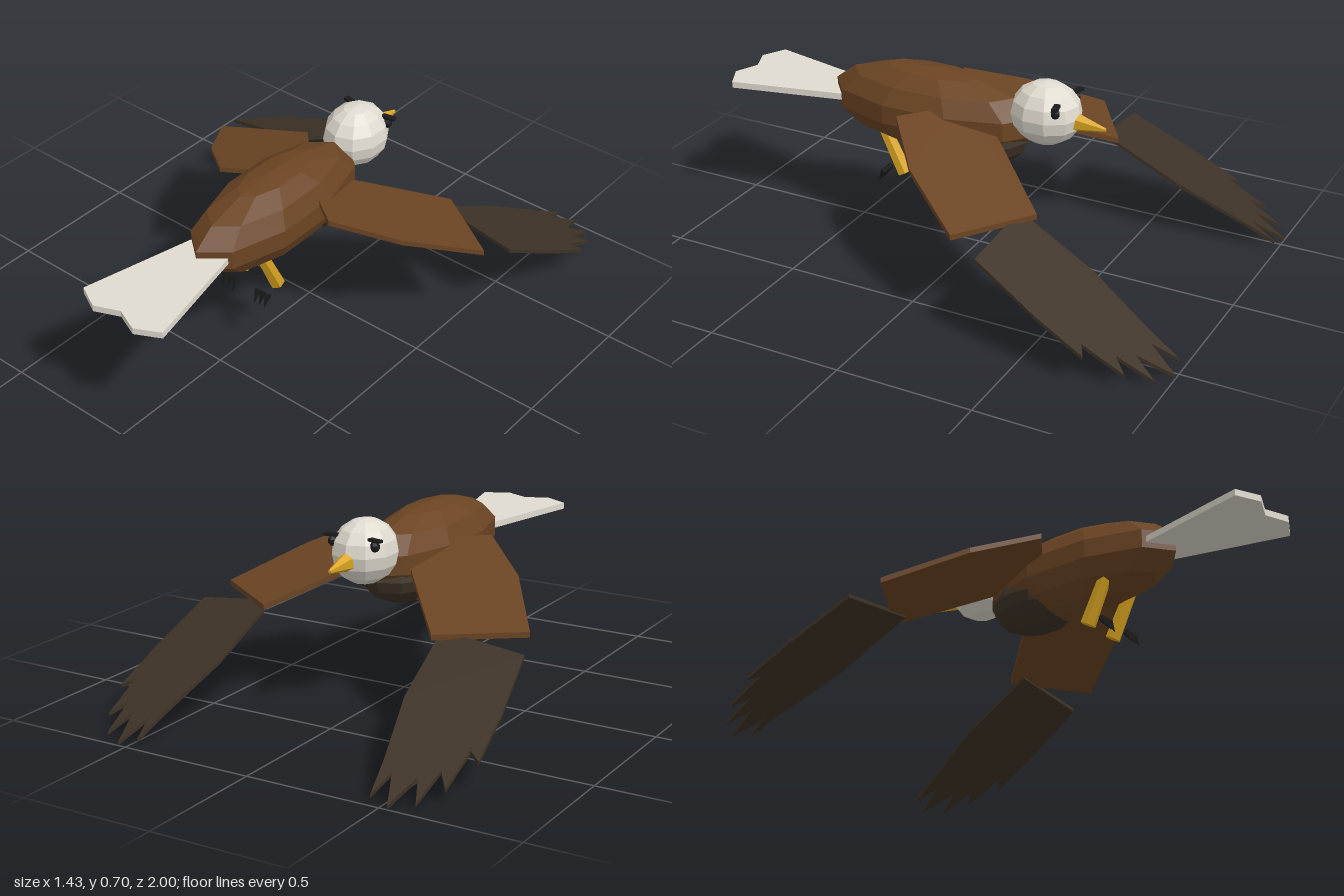
import * as THREE from 'three';

const mat = (name, color) => {
  const m = new THREE.MeshStandardMaterial({ color, flatShading: true });
  m.name = name;
  return m;
};

export function createModel() {
  const bird = new THREE.Group();
  bird.name = 'bird';

  const brown = mat('brown plumage', 0x6b4423);
  const dark = mat('dark feathers', 0x3d3226);
  const cream = mat('cream plumage', 0xe0dbcf);
  const gold = mat('golden horn', 0xdaa520);
  const black = mat('black', 0x1a1a1a);

  const add = (name, geometry, material) => {
    const mesh = new THREE.Mesh(geometry, material);
    mesh.name = name;
    bird.add(mesh);
    return mesh;
  };

  // Faceted ellipsoid with a vertex ring aligned to the bird's length
  const ellipsoid = (name, material, radii, pos, w, h) =>
    add(name, new THREE.SphereGeometry(1, w, h).rotateY(Math.PI / 2).scale(...radii).translate(...pos), material);

  // Tapered rod from point a to point b
  const rod = (name, material, a, b, ra, rb, sides) => {
    const from = new THREE.Vector3(...a), to = new THREE.Vector3(...b);
    const dir = to.clone().sub(from);
    const mesh = add(name, new THREE.CylinderGeometry(rb, ra, dir.length(), sides), material);
    mesh.position.copy(from).addScaledVector(dir, 0.5);
    mesh.quaternion.setFromUnitVectors(new THREE.Vector3(0, 1, 0), dir.normalize());
    return mesh;
  };

  // Slab with an [x, z] outline, sloped along the plane y = y0 + sx * |x| + sz * z
  const slab = (name, material, outline, thickness, [y0, sx, sz], side = 1) => {
    const shape = new THREE.Shape(outline.map(([x, z]) => new THREE.Vector2(x * side, -z)));
    const geo = new THREE.ExtrudeGeometry(shape, { depth: thickness, bevelEnabled: false }).rotateX(-Math.PI / 2);
    const p = geo.attributes.position;
    for (let i = 0; i < p.count; i++) {
      p.setY(i, p.getY(i) + y0 + sx * p.getX(i) * side + sz * p.getZ(i));
    }
    geo.computeVertexNormals();
    return add(name, geo, material);
  };

  // Body, belly and head
  ellipsoid('body', brown, [0.167, 0.157, 0.42], [0, 0.515, 0.19], 10, 7);
  ellipsoid('belly', dark, [0.137, 0.108, 0.18], [0, 0.45, -0.01], 10, 8);
  ellipsoid('head', cream, [0.116, 0.118, 0.133], [0, 0.587, -0.266], 10, 8);

  // Beak
  rod('beak', gold, [0, 0.575, -0.36], [0, 0.565, -0.495], 0.042, 0.007, 6).scale.x = 0.85;

  // Tail fan
  slab('tail', cream, [
    [-0.07, 0.47], [0.07, 0.47], [0.18, 0.952], [0.09, 0.998],
    [0, 0.96], [-0.09, 0.998], [-0.18, 0.952],
  ], 0.024, [0.501, 0, 0]);

  const innerWing = [
    [0.05, -0.06], [0.127, -0.155], [0.342, -0.4], [0.62, -0.217],
    [0.444, 0.037], [0.25, 0.2], [0.153, 0.13], [0.05, 0.06],
  ];
  const outerWing = [
    [0.656, -0.328], [0.349, -0.339], [0.37, -0.624], [0.434, -0.86],
    [0.46, -0.985], [0.482, -0.89], [0.53, -1], [0.566, -0.873],
    [0.608, -0.958], [0.622, -0.825], [0.667, -0.878], [0.672, -0.725],
    [0.714, -0.75], [0.698, -0.566],
  ];

  for (const s of [1, -1]) {
    const label = s > 0 ? 'left' : 'right';

    // Wing: sloping arm and drooping feathered tip
    slab(label + 'InnerWing', brown, innerWing, 0.02, [0.536, -0.182, 0.306], s);
    slab(label + 'OuterWing', dark, outerWing, 0.014, [0.582, -0.15, 0.5], s);

    // Eye under a brow ridge
    ellipsoid(label + 'Eye', black, [0.018, 0.02, 0.018], [s * 0.085, 0.628, -0.34], 6, 5);
    const brow = add(label + 'Brow', new THREE.BoxGeometry(0.052, 0.01, 0.022), black);
    brow.position.set(s * 0.088, 0.651, -0.343);
    brow.rotation.y = s * 0.2;

    // Leg
    rod(label + 'Leg', gold, [s * 0.078, 0.43, 0.355], [s * 0.075, 0.26, 0.272], 0.024, 0.029, 6);

    // Talons
    for (const i of [-1, 0, 1]) {
      const x = s * 0.075 + i * 0.023;
      rod(label + 'Talon', black, [x, 0.26, 0.347], [x, 0.212, 0.371], 0.013, 0, 5);
    }
  }

  return bird;
}
